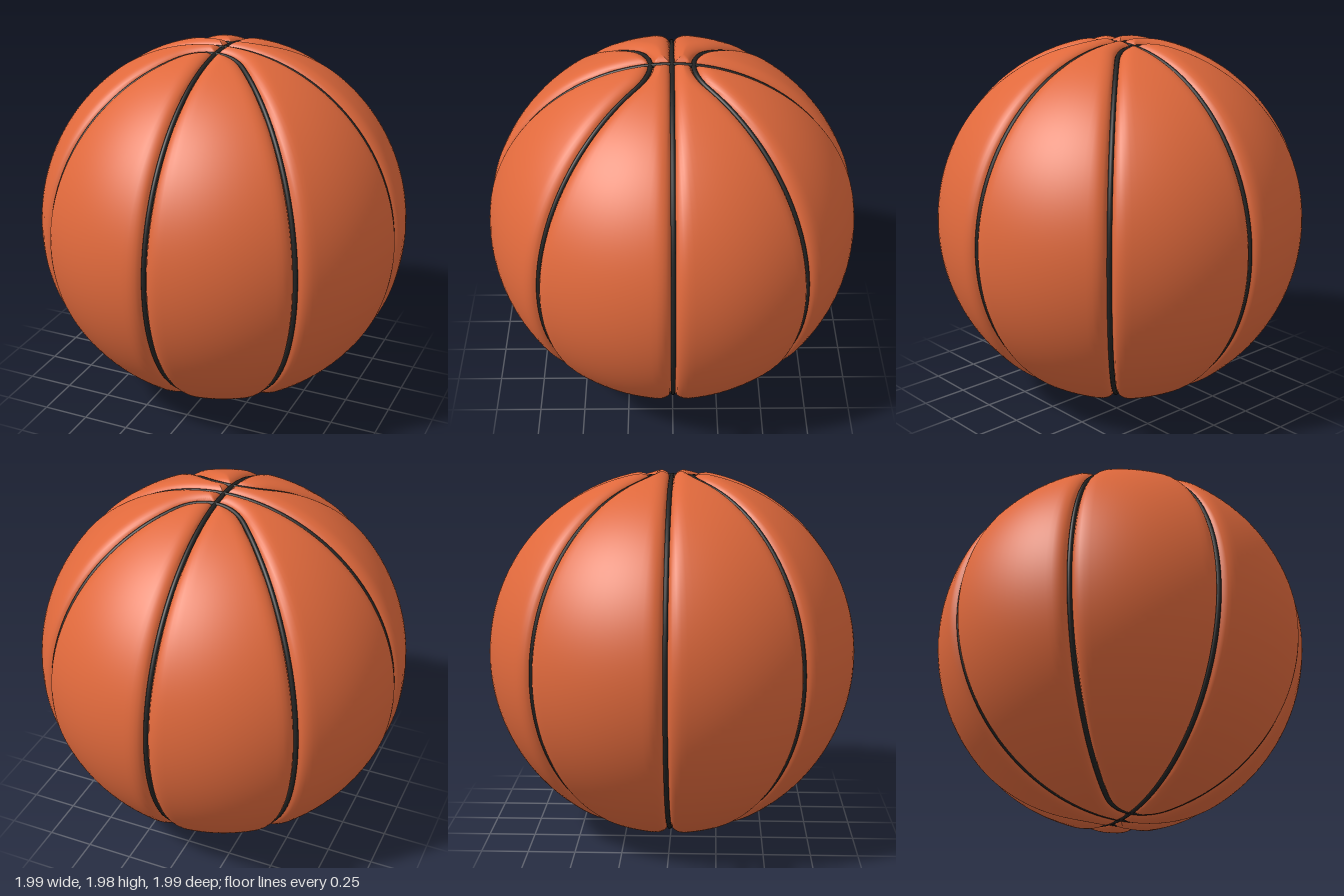
import * as THREE from 'three';

const FILLET = 0.265;               // radius of the curved seam where it turns near each pole
const CENTRE = FILLET * Math.SQRT2; // centre of that turn, measured from the pole axis
const SEAM_R = 0.963;               // distance of the seams from the ball centre
const SEAM_W = 0.0125;              // half width of a seam

// Distance from a point on the unit sphere to the nearest seam
function seamDistance(x, z) {
  const a = Math.abs(x), b = Math.abs(z);
  const curved = a + b < CENTRE
    ? Math.abs(Math.hypot(a, b - CENTRE) - FILLET)
    : Math.abs(a - b) / Math.SQRT2;
  return Math.min(a, b, curved);
}

// Panel surface: rounded shoulders dropping into a narrow channel
function panelRadius(d) {
  const t = Math.max(0, 1 - Math.max(0, d - SEAM_W) / 0.075);
  return 0.998 - 0.044 * (1 - Math.sqrt(1 - t * t));
}

// Remap 0..1 so that samples gather at both ends
const gather = (t, k) => t - k * Math.sin(2 * Math.PI * t) / (2 * Math.PI);

function panelGeometry() {
  const sectors = 8, perSector = 26, rows = 180, cols = sectors * perSector;
  const geo = new THREE.SphereGeometry(1, cols, rows);
  const pos = geo.attributes.position;
  for (let i = 0; i < pos.count; i++) {
    const col = i % (cols + 1), row = Math.floor(i / (cols + 1));
    const s = col / perSector, n = Math.floor(s);
    const phi = (n + gather(s - n, 0.8)) * 2 * Math.PI / sectors;
    const theta = Math.PI * gather(row / rows, 0.7);
    const x = -Math.cos(phi) * Math.sin(theta);
    const z = Math.sin(phi) * Math.sin(theta);
    const r = panelRadius(seamDistance(x, z));
    pos.setXYZ(i, x * r, Math.cos(theta) * r, z * r);
  }
  geo.computeVertexNormals();
  return geo;
}

// Closed loop that turns near both poles and runs down two diagonals
function curvedSeam() {
  const half = []; // from the top turn down the +x side to the bottom turn
  const tangent = CENTRE / 2;
  const add = (x, z, sign) =>
    half.push(new THREE.Vector3(x, sign * Math.sqrt(Math.max(0, SEAM_R ** 2 - x * x - z * z)), z));
  const turn = 8, side = 24;
  for (let i = 0; i < turn; i++) {
    const a = (i / turn) * Math.PI / 4;
    add(FILLET * Math.sin(a), CENTRE - FILLET * Math.cos(a), 1);
  }
  const start = Math.asin(tangent * Math.SQRT2 / SEAM_R);
  for (let i = 0; i <= side; i++) {
    const a = start + (i / side) * (Math.PI - 2 * start);
    const h = SEAM_R * Math.sin(a) / Math.SQRT2;
    half.push(new THREE.Vector3(h, SEAM_R * Math.cos(a), h));
  }
  for (let i = turn - 1; i >= 0; i--) {
    const a = (i / turn) * Math.PI / 4;
    add(FILLET * Math.sin(a), CENTRE - FILLET * Math.cos(a), -1);
  }
  const back = half.slice(1, -1).reverse().map(p => new THREE.Vector3(-p.x, p.y, p.z));
  const path = new THREE.CatmullRomCurve3([...half, ...back], true);
  return new THREE.TubeGeometry(path, 240, SEAM_W, 10, true);
}

export function createModel() {
  const ball = new THREE.Group();
  ball.name = 'ball';
  const leather = new THREE.MeshStandardMaterial({ color: 0xe0693c });
  const rubber = new THREE.MeshStandardMaterial({ color: 0x222222 });

  const add = (name, geometry, material, turnY = 0) => {
    const mesh = new THREE.Mesh(geometry, material);
    mesh.name = name;
    mesh.rotation.y = turnY;
    mesh.position.y = 1;
    ball.add(mesh);
  };

  add('panels', panelGeometry(), leather);

  // Two full rings crossing at the poles
  const ring = new THREE.TorusGeometry(SEAM_R, SEAM_W, 10, 200);
  add('sideSeam', ring, rubber);
  add('middleSeam', ring, rubber, Math.PI / 2);

  // Curved seams on the front and back halves
  const curve = curvedSeam();
  add('frontCurvedSeam', curve, rubber);
  add('backCurvedSeam', curve, rubber, Math.PI);

  return ball;
}
